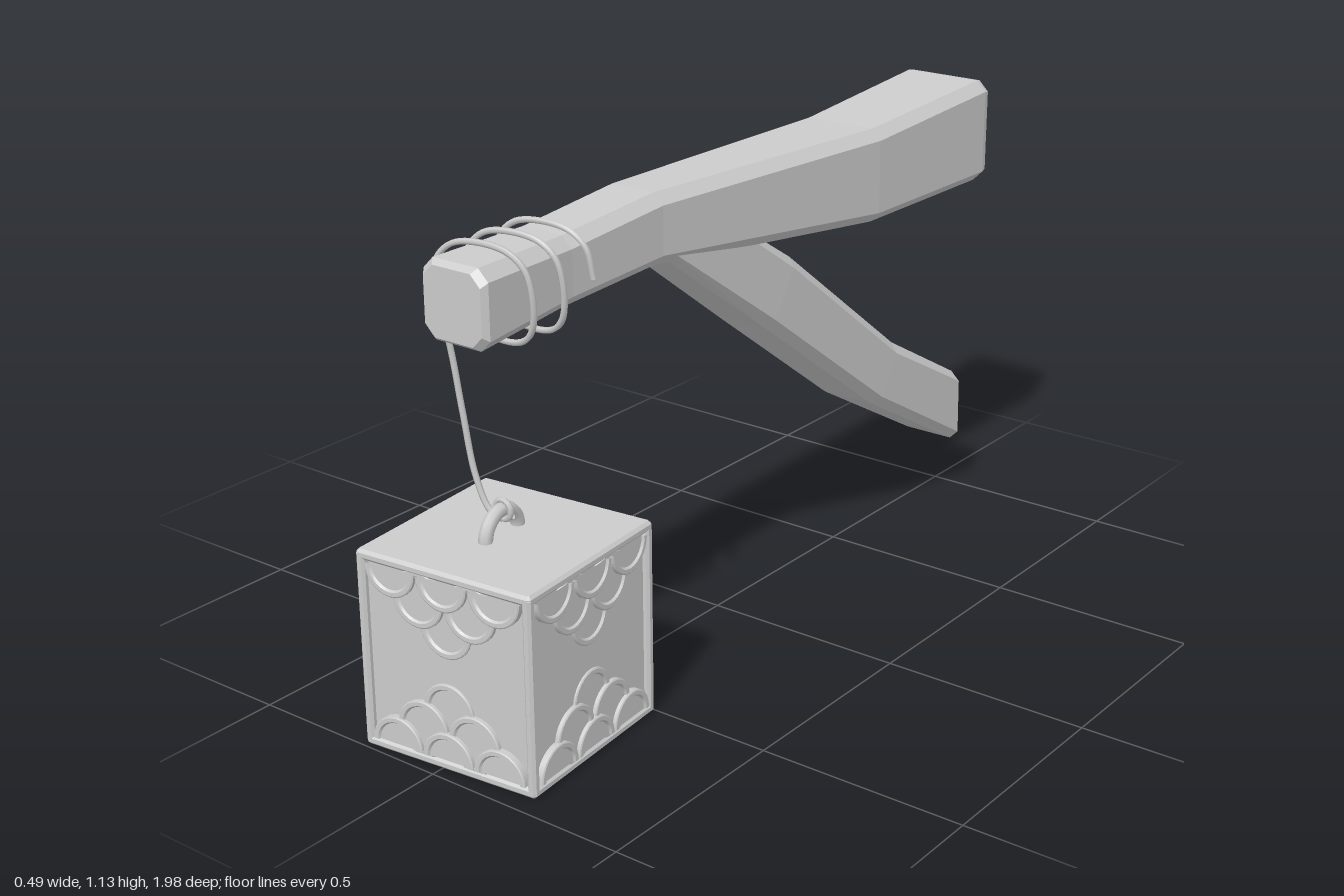
import * as THREE from 'three';
import { toCreasedNormals } from 'three/addons/utils/BufferGeometryUtils.js';

const flat = new THREE.MeshStandardMaterial({ color: 0xcccccc, flatShading: true, side: THREE.DoubleSide });
const smooth = new THREE.MeshStandardMaterial({ color: 0xcccccc, side: THREE.DoubleSide });

function add(parent, name, geometry, material, x = 0, y = 0, z = 0) {
  const mesh = new THREE.Mesh(geometry, material);
  mesh.name = name;
  mesh.position.set(x, y, z);
  parent.add(mesh);
  return mesh;
}

// Timber skin through chamfered sections [x0, x1, bottomY, bottomZ, topY, topZ], back end open
function timber(sections, chamfer, capped) {
  const pos = [], idx = [];
  for (const [x0, x1, yb, zb, yt, zt] of sections) {
    const u = chamfer / (x1 - x0), v = chamfer / Math.hypot(yt - yb, zt - zb);
    const ring = [[u, 0], [1 - u, 0], [1, v], [1, 1 - v], [1 - u, 1], [u, 1], [0, 1 - v], [0, v]];
    for (const [s, t] of ring) {
      pos.push(x0 + (x1 - x0) * s, yb + (yt - yb) * t, zb + (zt - zb) * t);
    }
  }
  for (let k = 0; k < sections.length - 1; k++) {
    for (let i = 0; i < 8; i++) {
      const a = k * 8 + i, b = k * 8 + (i + 1) % 8;
      idx.push(a, a + 8, b, b, a + 8, b + 8);
    }
  }
  if (capped) for (let i = 1; i < 7; i++) idx.push(0, i, i + 1);
  const g = new THREE.BufferGeometry();
  g.setAttribute('position', new THREE.Float32BufferAttribute(pos, 3));
  g.setIndex(idx);
  g.computeVertexNormals();
  return g;
}

// Box with all edges chamfered
function chamferBox(w, h, d, c) {
  const x = w / 2, y = d / 2;
  const shape = new THREE.Shape([
    [-x + c, -y], [x - c, -y], [x, -y + c], [x, y - c],
    [x - c, y], [-x + c, y], [-x, y - c], [-x, -y + c],
  ].map(([a, b]) => new THREE.Vector2(a, b)));
  const g = new THREE.ExtrudeGeometry(shape, {
    depth: h - 2 * c, bevelThickness: c, bevelSize: c, bevelOffset: -c, bevelSegments: 1,
  });
  return g.rotateX(-Math.PI / 2).center();
}

// Round scale with a raised rim, facing +z
function scaleGeometry(r, h, half) {
  const rim = h + 0.005;
  const profile = [[r, 0], [r, rim - 0.002], [r - 0.003, rim], [r - 0.012, rim], [r - 0.016, h], [0, h]]
    .map(([a, b]) => new THREE.Vector2(a, b));
  const g = new THREE.LatheGeometry(profile, half ? 14 : 28, Math.PI / 2, half ? Math.PI : Math.PI * 2);
  return toCreasedNormals(g.rotateX(Math.PI / 2), 0.4);
}

function createLanternBox() {
  const box = new THREE.Group();
  box.name = 'hangingBox';
  const S = 0.452, H = 0.465, recess = 0.014, border = 0.024;
  add(box, 'boxCore', new THREE.BoxGeometry(S - 2 * recess, H - 0.02, S - 2 * recess), flat);
  const slab = chamferBox(S, border, S, 0.007);
  const post = chamferBox(0.022, H - 0.01, 0.022, 0.006);
  for (const s of [-1, 1]) {
    add(box, s > 0 ? 'boxTop' : 'boxBottom', slab, flat, 0, s * (H - border) / 2, 0);
    for (const t of [-1, 1]) add(box, 'cornerPost', post, flat, s * (S / 2 - 0.011), 0, t * (S / 2 - 0.011));
  }

  // Three overlapping rows of scales rise from the bottom and hang from the top of each side
  const r = 0.066, step = 0.135;
  const rows = [scaleGeometry(r, 0.011, true), scaleGeometry(r, 0.006), scaleGeometry(r, 0.001)];
  for (let side = 0; side < 4; side++) {
    const panel = new THREE.Group();
    panel.name = 'scalePanel';
    panel.rotation.y = side * Math.PI / 2;
    for (const turn of [0, Math.PI]) {
      const cluster = new THREE.Group();
      cluster.name = 'scaleCluster';
      cluster.rotation.z = turn;
      rows.forEach((geo, row) => {
        for (let i = 0; i < 3 - row; i++) {
          add(cluster, 'scale', geo, smooth,
            (i - (2 - row) / 2) * step, -H / 2 + border + row * 0.056, S / 2 - recess);
        }
      });
      panel.add(cluster);
    }
    box.add(panel);
  }

  // Arched handle on the lid
  const handle = new THREE.TorusGeometry(0.057, 0.016, 8, 14, Math.PI).rotateY(Math.PI / 2);
  add(box, 'handle', handle, smooth, -0.01, H / 2 - 0.003, 0);

  box.position.set(0, H / 2, 0.7475);
  box.rotation.y = 0.09;
  return box;
}

function createRope() {
  const rope = new THREE.Group();
  rope.name = 'rope';
  // Hanging strand, then a loose coil around the beam
  const pts = [[0.012, 0.505, 0.735], [-0.012, 0.494, 0.74], [-0.045, 0.508, 0.745], [-0.08, 0.58, 0.748],
    [-0.103, 0.72, 0.755], [-0.122, 0.88, 0.768]].map(p => new THREE.Vector3(...p));
  const perTurn = 12, turns = 2.55;
  const bulge = v => Math.sign(v) * Math.abs(v) ** 0.75;
  for (let i = 0; i <= perTurn * turns; i++) {
    const t = i / perTurn, a = Math.PI * (1 - 2 * t);
    pts.push(new THREE.Vector3(-0.015 + 0.117 * bulge(Math.cos(a)), 1.005 + 0.11 * bulge(Math.sin(a)), 0.8 - 0.095 * t));
  }
  const curve = new THREE.CatmullRomCurve3(pts);
  add(rope, 'ropeStrand', new THREE.TubeGeometry(curve, 220, 0.007, 6), smooth);
  // Loop tied around the handle
  add(rope, 'ropeKnot', new THREE.TorusGeometry(0.022, 0.007, 6, 14), smooth, -0.01, 0.517, 0.742);
  return rope;
}

export function createModel() {
  const model = new THREE.Group();
  model.name = 'hangingBoxOnBeam';

  // Main beam, solid front end and open back
  add(model, 'beam', timber([
    [-0.085, 0.07, 0.93, 0.872, 1.085, 0.872],
    [-0.095, 0.08, 0.92, 0.858, 1.096, 0.858],
    [-0.1, 0.06, 0.936, 0.58, 1.092, 0.58],
    [-0.112, 0.056, 0.946, 0.27, 1.112, 0.27],
    [-0.12, 0.115, 0.87, -0.5, 1.103, -0.5],
    [-0.135, 0.122, 0.87, -0.975, 1.132, -0.975],
    [-0.132, 0.119, 0.873, -0.992, 1.129, -0.992],
  ], 0.026, true), flat);

  // Diagonal brace under the beam
  add(model, 'brace', timber([
    [-0.105, 0.05, 0.97, 0.26, 1.0, 0.02],
    [-0.122, 0.063, 0.69, -0.13, 0.84, -0.23],
    [-0.112, 0.078, 0.36, -0.58, 0.5, -0.67],
    [-0.1, 0.083, 0.14, -0.97, 0.335, -0.965],
  ], 0.024, false), flat);

  model.add(createRope(), createLanternBox());
  return model;
}
